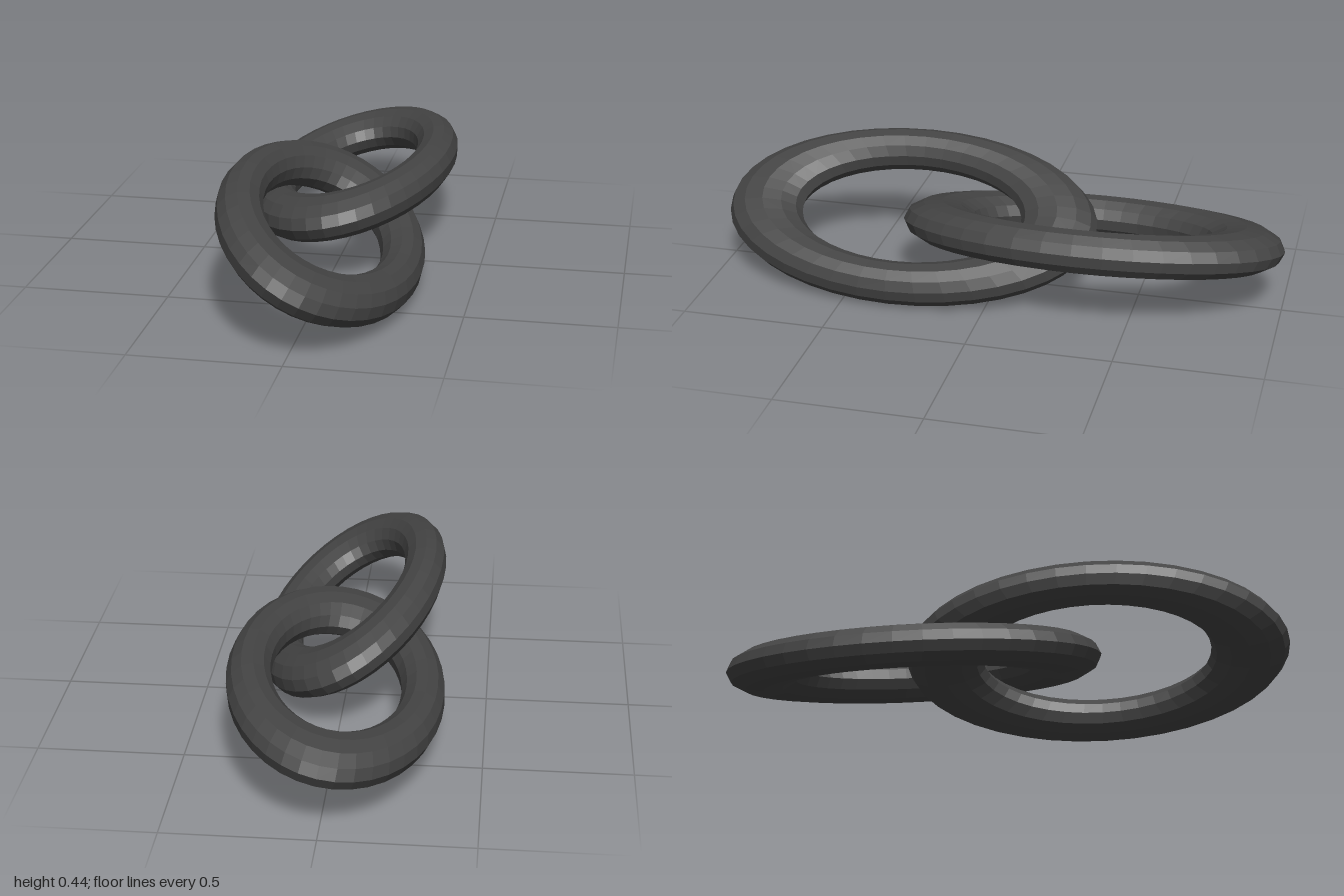
import * as THREE from 'three';

// Two interlocked oval chain links, each a torus stretched along z and tilted about z.
export function createModel() {
  const group = new THREE.Group();
  const material = new THREE.MeshStandardMaterial({ color: 0x444444, flatShading: true });

  const ring = new THREE.TorusGeometry(0.297, 0.075, 12, 40);
  ring.rotateX(Math.PI / 2);
  ring.scale(1, 1, 1.808);

  const addLink = (name, z, tilt) => {
    const link = new THREE.Mesh(ring, material);
    link.name = name;
    link.position.set(0, 0.221, z);
    link.rotation.z = THREE.MathUtils.degToRad(tilt);
    group.add(link);
  };

  addLink('frontLink', 0.3275, -29);
  addLink('backLink', -0.3275, 12.4);
  return group;
}
